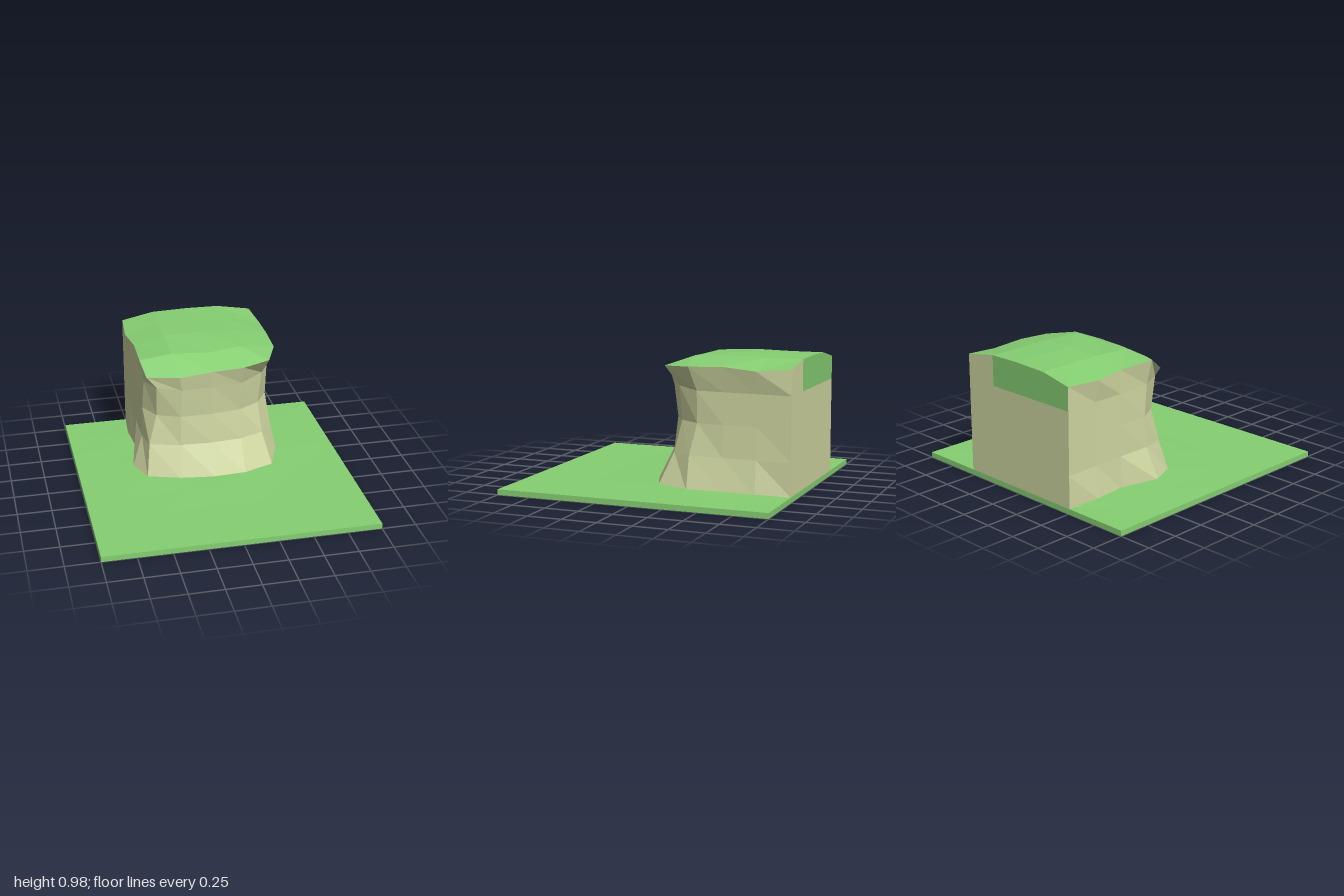
import * as THREE from 'three';

const GREEN = 0x86cf72, ROCK = 0xd0d7a2;
const material = (color) => new THREE.MeshStandardMaterial({ color, flatShading: true });

// Faceted skin over rows of points; faces look along (row step) x (column step)
function skin(name, rows, color) {
  const n = rows[0].length, index = [];
  for (let r = 0; r < rows.length - 1; r++) {
    for (let c = 0; c < n - 1; c++) {
      const a = r * n + c, b = a + 1, d = a + n, e = d + 1;
      index.push(a, d, e, a, e, b);
    }
  }
  const geo = new THREE.BufferGeometry();
  geo.setAttribute('position', new THREE.Float32BufferAttribute(rows.flat(2), 3));
  geo.setIndex(index);
  geo.computeVertexNormals();
  const mesh = new THREE.Mesh(geo, material(color));
  mesh.name = name;
  return mesh;
}

// Outlines run from the left back corner, round the front, to the right back corner
const outline = (y, pts) => pts.map(([x, z, h = y]) => [x, h, z]);
const walls = [
  outline(0.04, [[0.51, -1], [0.55, -0.75], [0.55, -0.5], [0.555, -0.25], [0.46, 0], [0.23, 0.09], [0, 0.1],
    [-0.26, 0.07], [-0.5, -0.01], [-0.58, -0.2], [-0.51, -0.5], [-0.53, -0.74], [-0.51, -1]]),
  outline(0.28, [[0.51, -1], [0.51, -0.75], [0.5, -0.5], [0.5, -0.25], [0.4, -0.1], [0.22, -0.03], [0, -0.01],
    [-0.24, -0.02], [-0.47, -0.08], [-0.5, -0.24], [-0.5, -0.5], [-0.5, -0.74], [-0.51, -1]]),
  outline(0.51, [[0.51, -1], [0.5, -0.75], [0.49, -0.5], [0.47, -0.3], [0.375, -0.15], [0.22, -0.06], [0, -0.03],
    [-0.24, -0.03], [-0.41, -0.1], [-0.49, -0.25], [-0.5, -0.5], [-0.5, -0.74], [-0.51, -1]]),
  outline(0.74, [[0.51, -1], [0.5, -0.75], [0.49, -0.5], [0.48, -0.3], [0.4, -0.14, 0.76], [0.22, -0.03], [0, -0.01],
    [-0.23, -0.01, 0.73], [-0.41, -0.06, 0.75], [-0.48, -0.22], [-0.5, -0.5], [-0.5, -0.74], [-0.51, -1]]),
];
const rim = outline(0.9, [[0.51, -1, 0.92], [0.535, -0.75], [0.525, -0.5, 0.92], [0.52, -0.25, 0.91], [0.43, -0.04],
  [0.23, 0.01, 0.88], [0, 0.01, 0.87], [-0.25, 0.01, 0.845], [-0.48, -0.08, 0.83], [-0.51, -0.2, 0.92],
  [-0.5, -0.5, 0.91], [-0.53, -0.74], [-0.51, -1, 0.91]]);

// Heights of the grassy top at x = -0.27, 0 and 0.25, from back to front
const topHeights = [[0.96, 0.968, 0.965], [0.96, 0.97, 0.965], [0.965, 0.975, 0.968], [0.95, 0.945, 0.96]];
const topZ = [-1, -0.75, -0.5, -0.2];

function createGround() {
  const geo = new THREE.BoxGeometry(2, 0.04, 2, 8, 1, 8).translate(0, 0.02, 0);
  const p = geo.attributes.position;
  // Low swells around the foot of the cliff
  for (let i = 0; i < p.count; i++) {
    const x = p.getX(i), z = p.getZ(i);
    if (p.getY(i) > 0.03 && Math.abs(x) < 0.99 && Math.abs(z) < 0.99) {
      const d = Math.hypot(x, z + 0.45);
      p.setY(i, 0.04 + 0.012 * Math.max(0, 1 - Math.abs(d - 0.55) / 0.4));
    }
  }
  const mesh = new THREE.Mesh(geo, material(GREEN));
  mesh.name = 'ground';
  return mesh;
}

export function createModel() {
  const group = new THREE.Group();
  group.name = 'cliffTile';
  group.add(createGround());

  // Rock wall flaring out to the overhanging rim
  group.add(skin('cliffWall', [...walls, rim], ROCK));

  // Grassy top, sloping down over the front edge
  const top = topHeights.map((h, r) => [
    rim[12 - r], ...[-0.27, 0, 0.25].map((x, i) => [x, h[i], topZ[r] + (r === 3 && i === 1 ? 0.03 : 0)]), rim[r],
  ]);
  group.add(skin('grassTop', [...top, rim.slice(4, 9).reverse()], GREEN));

  // Flat back, with a grass strip that stops short of the left corner
  const edge = top[0];
  const level = (y) => edge.map(([x]) => [x, y, -1]);
  group.add(skin('backWall', [level(0.04), level(0.74)], ROCK));
  group.add(skin('backGrass', [level(0.74).slice(0, 4), edge.slice(0, 4)], GREEN));
  group.add(skin('backCorner', [level(0.74).slice(3), edge.slice(3)], ROCK));
  return group;
}
